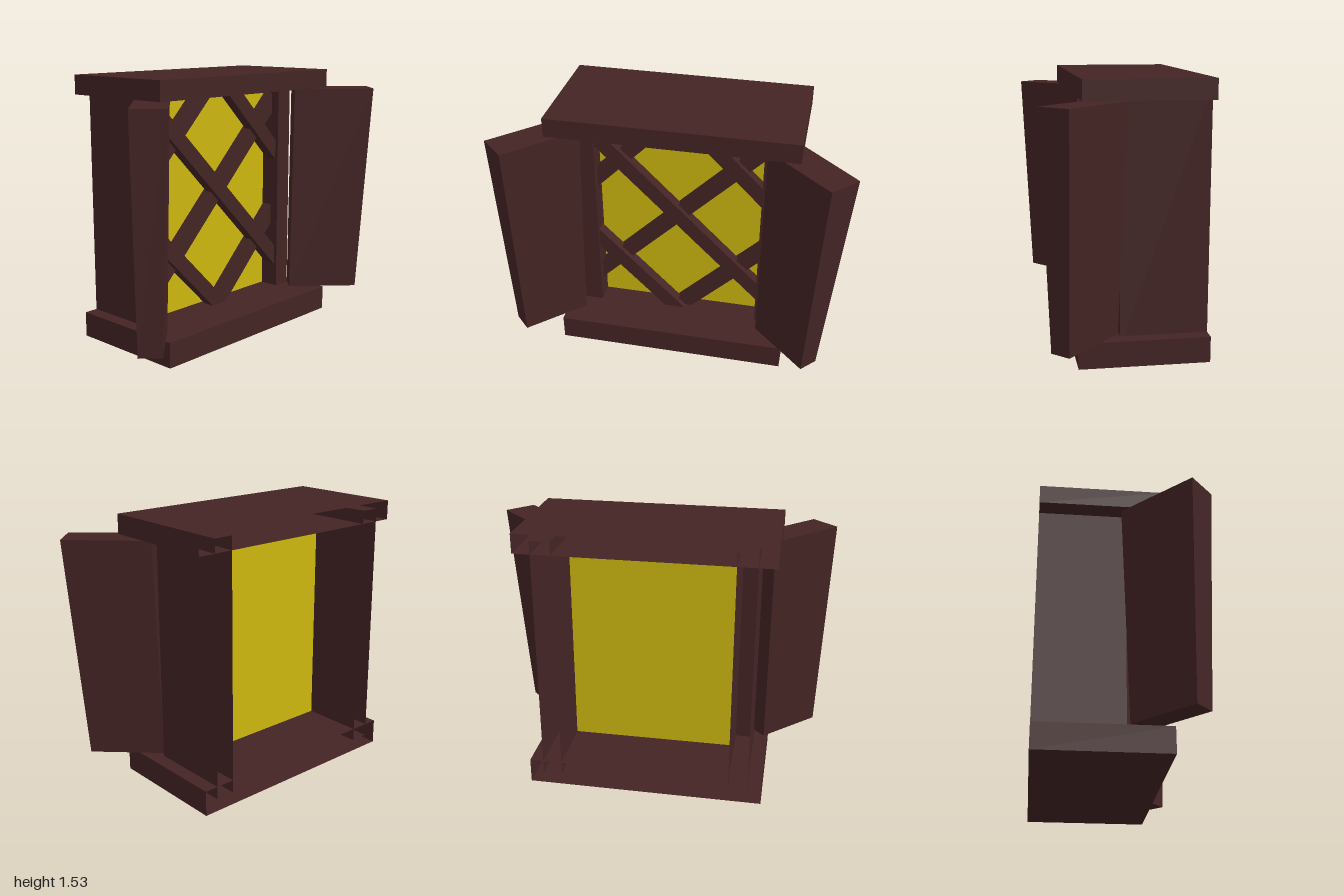
import * as THREE from 'three';

const wood = new THREE.MeshStandardMaterial({ color: 0x442424, side: THREE.DoubleSide });
wood.name = 'darkWood';
const glass = new THREE.MeshStandardMaterial({ color: 0xcdb70f, side: THREE.DoubleSide });
glass.name = 'yellowGlass';

function add(group, name, geometry, material) {
  const mesh = new THREE.Mesh(geometry, material);
  mesh.name = name;
  group.add(mesh);
  return mesh;
}

// Box given by its limits, hollow and open at the back
function openBox(x0, x1, y0, y1, z0, z1) {
  const g = new THREE.BoxGeometry(x1 - x0, y1 - y0, z1 - z0);
  g.translate((x0 + x1) / 2, (y0 + y1) / 2, (z0 + z1) / 2);
  g.setIndex(Array.from(g.index.array).slice(0, 30));
  g.clearGroups();
  return g;
}

// Tapered shutter; each end lists [x, z] for leftBack, rightBack, leftFront, rightFront
function shutter(top, bottom) {
  const g = new THREE.BoxGeometry(1, 1, 1).toNonIndexed();
  const p = g.attributes.position;
  for (let i = 0; i < p.count; i++) {
    const up = p.getY(i) > 0;
    const [x, z] = (up ? top : bottom)[(p.getX(i) > 0 ? 1 : 0) + (p.getZ(i) > 0 ? 2 : 0)];
    p.setXYZ(i, x, up ? 1.42 : 0.155, z);
  }
  g.computeVertexNormals();
  return g;
}

// Diagonal lattice bar, side -1 mirrors it
function bar(points, side, z, depth) {
  const shape = new THREE.Shape(points.map(([x, y]) => new THREE.Vector2(x * side, y)));
  const g = new THREE.ExtrudeGeometry(shape, { depth, bevelEnabled: false });
  return g.translate(0, 0, z);
}

export function createModel() {
  const model = new THREE.Group();
  model.name = 'latticeWindow';
  const back = -0.465, inner = 0.49, sill = 0.145, head = 1.425;

  // Frame
  add(model, 'sill', openBox(-0.68, 0.68, 0, sill, back, 0.255), wood);
  add(model, 'lintel', openBox(-0.7, 0.7, head, 1.535, back, 0.23), wood);
  add(model, 'leftJamb', openBox(inner, 0.6, 0.07, 1.5, back, 0.02), wood);
  add(model, 'rightJamb', openBox(-0.6, -inner, 0.07, 1.5, back, 0.02), wood);

  // Pane
  const pane = add(model, 'pane', new THREE.PlaneGeometry(2 * inner, head - sill), glass);
  pane.position.set(0, (sill + head) / 2, -0.1);

  // Lattice: three falling bars in front of their three mirrored bars
  const h = 0.0625;
  const bars = {
    longBar: [[-inner, 1.325 - h], [inner, 0.35 - h], [inner, 0.35 + h], [-inner, 1.325 + h]],
    upperBar: [[0.1 - h, head], [inner, 1.035 - h], [inner, 1.035 + h], [0.1 + h, head]],
    lowerBar: [[-inner, 0.615 - h], [-0.02 - h, sill], [-0.02 + h, sill], [-inner, 0.615 + h]],
  };
  const lattice = new THREE.Group();
  lattice.name = 'lattice';
  for (const [name, points] of Object.entries(bars)) {
    add(lattice, name + 'Falling', bar(points, 1, -0.07, 0.07), wood);
    add(lattice, name + 'Rising', bar(points, -1, -0.097, 0.065), wood);
  }
  model.add(lattice);

  // Open shutters, slightly crooked
  add(model, 'leftShutter', shutter(
    [[0.655, -0.01], [1, 0.325], [0.515, 0.13], [0.87, 0.463]],
    [[0.59, 0.03], [0.895, 0.325], [0.51, 0.115], [0.815, 0.41]]), wood);
  add(model, 'rightShutter', shutter(
    [[-1, 0.33], [-0.665, -0.01], [-0.865, 0.458], [-0.53, 0.12]],
    [[-0.955, 0.31], [-0.66, 0.03], [-0.865, 0.4], [-0.57, 0.12]]), wood);

  return model;
}
